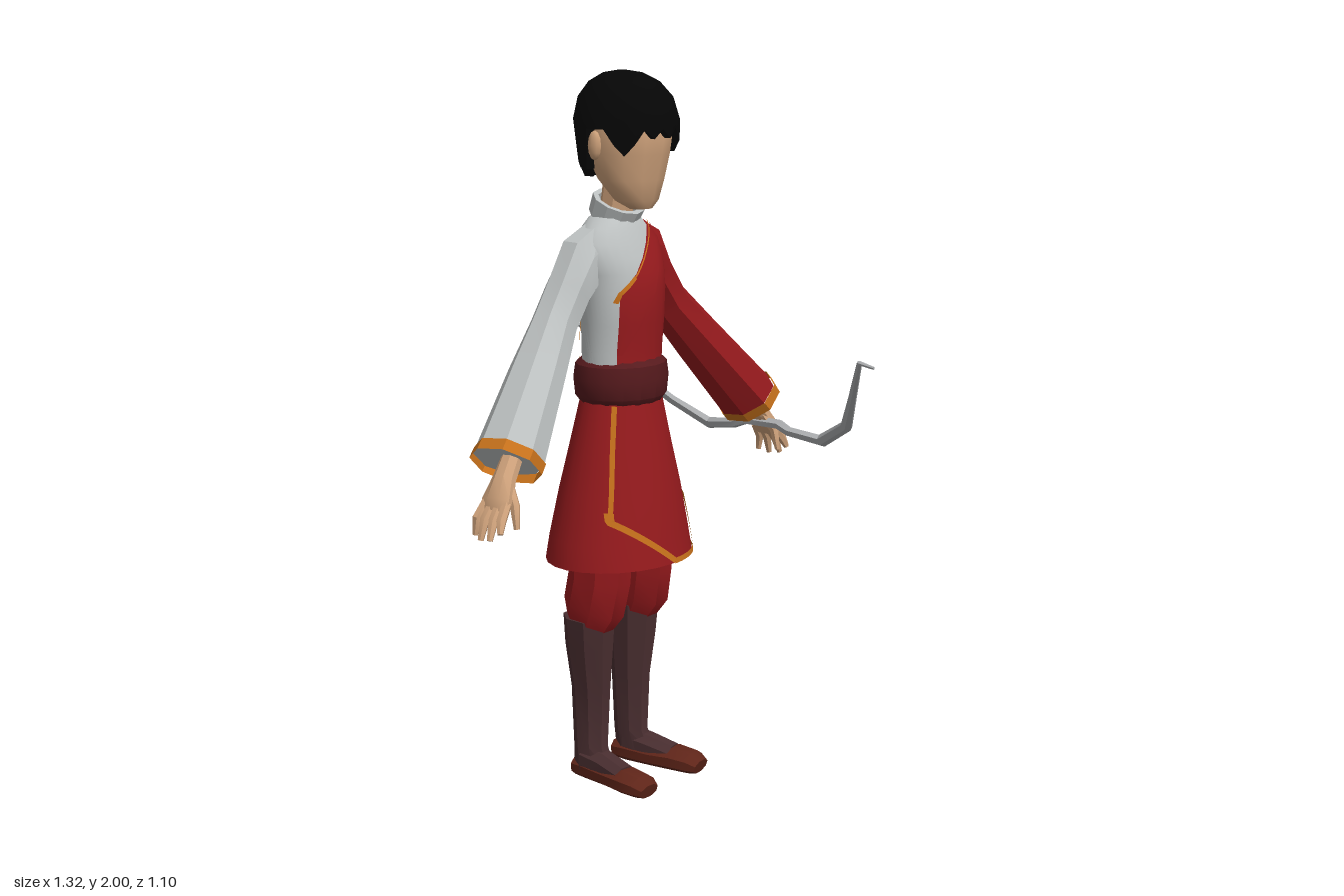
import * as THREE from 'three';
import { toCreasedNormals } from 'three/addons/utils/BufferGeometryUtils.js';

const mat = (name, color) => new THREE.MeshStandardMaterial({ name, color, side: THREE.DoubleSide });
const V = (x, y, z) => new THREE.Vector3(x, y, z);
const UP = V(0, 1, 0), FRONT = V(0, 0, 1);

export function createModel() {
  const model = new THREE.Group();
  model.name = 'archer';
  const skin = mat('skin', 0xd0a37c), red = mat('red cloth', 0x961a1d), pale = mat('pale cloth', 0xbcc0c0);
  const sash = mat('dark red sash', 0x561a1d), leather = mat('boot leather', 0x492e30);
  const shoe = mat('red brown leather', 0x5f2519), trim = mat('orange trim', 0xc8721c);
  const black = mat('black hair', 0x060606), metal = mat('bow grey', 0xadafb1);

  // Surface through rows of points, optionally capped at both ends
  function loft(name, rows, material, caps = false, crease = 0.6, parent = model) {
    const n = rows[0].length, pos = [], index = [];
    rows.forEach(r => r.forEach(p => pos.push(p.x, p.y, p.z)));
    for (let i = 0; i < rows.length - 1; i++) {
      for (let j = 0; j < n - 1; j++) {
        const a = i * n + j, b = a + n;
        index.push(a, b, b + 1, a, b + 1, a + 1);
      }
    }
    if (caps) {
      [0, rows.length - 1].forEach((r, end) => {
        const c = V(0, 0, 0);
        for (let j = 0; j < n - 1; j++) c.addScaledVector(rows[r][j], 1 / (n - 1));
        const k = pos.length / 3;
        pos.push(c.x, c.y, c.z);
        for (let j = 0; j < n - 1; j++) {
          const a = r * n + j;
          if (end) index.push(k, a + 1, a); else index.push(k, a, a + 1);
        }
      });
    }
    const g = new THREE.BufferGeometry();
    g.setAttribute('position', new THREE.Float32BufferAttribute(pos, 3));
    g.setIndex(index);
    const mesh = new THREE.Mesh(toCreasedNormals(g, crease), material);
    mesh.name = name;
    parent.add(mesh);
  }

  // Closed polygon ring around direction t; rv is measured along v
  function ring(c, t, ref, ru, rv, n = 8) {
    const v = ref.clone().addScaledVector(t, -ref.dot(t)).normalize();
    const u = t.clone().cross(v), k = 1 / Math.cos(Math.PI / n);
    return Array.from({ length: n + 1 }, (_, j) => {
      const a = ((j % n) + 0.5) * 2 * Math.PI / n;
      return c.clone().addScaledVector(u, ru * k * Math.cos(a)).addScaledVector(v, rv * k * Math.sin(a));
    });
  }

  // Tapering limb; each section is [x, y, z, ru, rv]
  function tube(name, secs, material, ref, n = 8, parent = model, caps = true) {
    const p = secs.map(s => V(s[0], s[1], s[2]));
    const rows = secs.map((s, i) => {
      const t = p[Math.min(i + 1, p.length - 1)].clone().sub(p[Math.max(i - 1, 0)]).normalize();
      return ring(p[i], t, ref, s[3], s[4], n);
    });
    loft(name, rows, material, caps, 0.6, parent);
  }
  const side = (secs, s) => secs.map(q => [q[0] * s, ...q.slice(1)]);

  // Elliptical arc on a body row [y, rx, zc, rz]
  const arc = ([y, rx, zc, rz], a0 = 0, a1 = 2 * Math.PI, n = 24, grow = 0) =>
    Array.from({ length: n + 1 }, (_, j) => {
      const a = a0 + (a1 - a0) * j / n;
      return V((rx + grow) * Math.cos(a), y, zc + (rz + grow) * Math.sin(a));
    });
  const angle = (x, rx) => Math.acos(THREE.MathUtils.clamp(x / rx, -0.97, 0.97));
  function rowAt(rows, y) {
    let i = 0;
    while (i < rows.length - 2 && rows[i + 1][0] < y) i++;
    const f = (y - rows[i][0]) / (rows[i + 1][0] - rows[i][0]);
    return rows[i].map((v, k) => v + (rows[i + 1][k] - v) * f);
  }

  // Thin trim ribbon lying on the front (dir 1) or back (dir -1) of a body
  function ribbon(name, rows, path, width, dir = 1, grow = 0.005) {
    const pts = [];
    path.forEach(([x, y], i) => {
      if (!i) return;
      const [px, py] = path[i - 1];
      for (let k = i > 1 ? 1 : 0; k <= 8; k++) pts.push([px + (x - px) * k / 8, py + (y - py) * k / 8]);
    });
    const strip = pts.map(([x, y], i) => {
      const a = pts[Math.max(i - 1, 0)], b = pts[Math.min(i + 1, pts.length - 1)];
      const l = Math.hypot(b[0] - a[0], b[1] - a[1]);
      const nx = -(b[1] - a[1]) / l, ny = (b[0] - a[0]) / l;
      return [-0.5, 0.5].map(w => {
        const X = x + nx * w * width, Y = y + ny * w * width, [, rx, zc, rz] = rowAt(rows, Y);
        const q = dir * angle(X, rx);
        return V((rx + grow) * Math.cos(q), Y, zc + (rz + grow) * Math.sin(q));
      });
    });
    loft(name, strip, trim);
  }

  // Tunic top: red and pale panels meeting on diagonal edges
  const torso = [[1.16, 0.13, -0.08, 0.105], [1.24, 0.127, -0.077, 0.1], [1.32, 0.13, -0.075, 0.105],
    [1.41, 0.135, -0.075, 0.108], [1.46, 0.142, -0.08, 0.103], [1.5, 0.15, -0.088, 0.096],
    [1.54, 0.147, -0.095, 0.086], [1.58, 0.115, -0.1, 0.072], [1.605, 0.082, -0.103, 0.06], [1.615, 0.04, -0.103, 0.03]];
  const edgeF = y => y > 1.41 ? 0.08 + (y - 1.6) / 1.055 : -0.1;
  const edgeB = y => 0.05 + (y - 1.6) / 2.53;
  const seam = y => 0.1 + (y - 1.58) / 1.8;
  loft('redTunicPanel', torso.map(r => arc(r, -angle(edgeB(r[0]), r[1]), angle(edgeF(r[0]), r[1]), 14)), red);
  loft('paleTunicPanel', torso.map(r => arc(r, angle(edgeF(r[0]), r[1]), 2 * Math.PI - angle(edgeB(r[0]), r[1]), 14)), pale);
  loft('lapel', torso.slice(1, 8).map(r => arc(r, angle(seam(r[0]), r[1]), angle(edgeF(r[0]), r[1]), 8, 0.005)), red);
  ribbon('frontEdgeTrim', torso, [[0.07, 1.59], [-0.07, 1.442]], 0.004, 1, 0.007);
  ribbon('frontCornerTrim', torso, [[-0.06, 1.452], [-0.1, 1.41], [-0.108, 1.385]], 0.01, 1, 0.007);
  ribbon('backEdgeTrim', torso, [[0.045, 1.59], [-0.1, 1.22]], 0.006, -1);

  // Sash
  const sashRows = [[1.095, 0.122, -0.08, 0.105], [1.115, 0.138, -0.08, 0.12], [1.165, 0.143, -0.08, 0.125],
    [1.205, 0.137, -0.08, 0.12], [1.222, 0.12, -0.08, 0.1]];
  loft('sash', sashRows.map(r => arc(r, 0, 2 * Math.PI, 16)), sash);

  // Skirt with orange edging
  const skirt = [[0.652, 0.232, -0.088, 0.188], [0.72, 0.22, -0.088, 0.178], [0.85, 0.19, -0.085, 0.157],
    [0.98, 0.157, -0.083, 0.13], [1.11, 0.125, -0.08, 0.105]];
  const hemRows = [0.651, 0.666].map(y => rowAt(skirt, y));
  loft('skirt', skirt.map(r => arc(r)), red);
  loft('outerHemTrim', hemRows.map(r => arc(r, -0.9, 1.53, 16, 0.004)), trim);
  loft('innerHemTrim', hemRows.map(r => arc(r, 0, 2 * Math.PI, 24, -0.004)), trim);
  ribbon('flapSideTrim', skirt, [[-0.105, 1.1], [-0.165, 0.79]], 0.009);
  ribbon('flapHemTrim', skirt, [[-0.163, 0.815], [-0.165, 0.79], [0.01, 0.66]], 0.017);
  ribbon('skirtSlitTrim', skirt, [[0.165, 0.66], [0.165, 0.81], [0.18, 0.81], [0.21, 0.66]], 0.013);

  // Collar and neck
  const tilt = V(0, 0.91, 0.42).normalize();
  loft('collar', [[0, 0.069], [0.05, 0.074], [0.05, 0.058], [0, 0.05]].map(([h, r]) =>
    ring(V(0, 1.6, -0.108).addScaledVector(tilt, h), tilt, FRONT, r, r * 0.93, 10)), pale, false, 0.5);
  tube('neck', [[0, 1.57, -0.105, 0.044, 0.042], [0, 1.74, -0.075, 0.044, 0.045]], skin, FRONT);

  // Head
  const head = [[1.632, 0.036, -0.01, 0.028], [1.655, 0.068, -0.025, 0.057], [1.71, 0.095, -0.045, 0.09],
    [1.78, 0.109, -0.055, 0.117], [1.86, 0.115, -0.055, 0.13], [1.94, 0.09, -0.06, 0.1]];
  loft('head', head.map(r => arc(r, 0, 2 * Math.PI, 12)), skin, true, 0.8);

  // Hair: a cap whose lower edge forms fringe, side locks and nape
  const N = 32;
  const hairEdge = j => {
    const d = Math.abs(((j * 360 / N - 90 + 540) % 360) - 180);
    if (d < 40) return j % 2 ? 1.85 : 1.825;
    if (d < 74) return j % 2 ? 1.78 : 1.81;
    if (d < 106) return 1.85;
    return (d < 150 ? 1.74 : 1.712) + (j % 2) * 0.015;
  };
  const hairRow = inset => arc([0, 0.138, -0.06, 0.149], 0, 2 * Math.PI, N).map((p, j) => {
    const y = hairEdge(j % N), k = inset * (1 - 0.22 * Math.max(0, (1.8 - y) / 0.1));
    return V(p.x * k, y, -0.06 + (p.z + 0.06) * k);
  });
  const crown = [[1.87, 0.135, -0.06, 0.15], [1.93, 0.12, -0.063, 0.134], [1.97, 0.09, -0.067, 0.1],
    [1.993, 0.052, -0.072, 0.055], [2, 0.012, -0.075, 0.012]];
  loft('hair', [hairRow(0.8), hairRow(1), ...crown.map(r => arc(r, 0, 2 * Math.PI, N))], black, true);

  for (const s of [1, -1]) {
    const name = s > 0 ? 'left' : 'right';
    const arm = new THREE.Group(), leg = new THREE.Group();
    arm.name = name + 'Arm';
    leg.name = name + 'Leg';
    model.add(arm, leg);

    const ear = new THREE.Mesh(new THREE.SphereGeometry(1, 8, 6), skin);
    ear.name = name + 'Ear';
    ear.scale.set(0.014, 0.04, 0.022);
    ear.position.set(s * 0.114, 1.805, -0.078);
    model.add(ear);

    // Flared sleeve and open cuff
    tube('sleeve', side([[0.05, 1.515, -0.106, 0.086, 0.052], [0.13, 1.483, -0.11, 0.083, 0.06],
      [0.19, 1.413, -0.113, 0.061, 0.06], [0.25, 1.335, -0.11, 0.058, 0.06], [0.355, 1.22, -0.082, 0.065, 0.075],
      [0.53, 1.03, -0.03, 0.078, 0.093]], s), s > 0 ? red : pale, FRONT, 8, arm);
    tube('cuff', side([[0.524, 1.037, -0.031, 0.081, 0.096], [0.546, 1.014, -0.027, 0.081, 0.097]], s), trim, FRONT, 8, arm, false);

    // Hand
    tube('palm', side([[0.53, 1.03, -0.02, 0.024, 0.028], [0.565, 0.985, -0.015, 0.023, 0.032],
      [0.598, 0.935, -0.01, 0.021, 0.045], [0.61, 0.91, -0.01, 0.014, 0.042]], s), skin, FRONT, 8, arm);
    [[0.635, 0.845, -0.055], [0.648, 0.837, -0.025], [0.652, 0.842, 0.01], [0.645, 0.862, 0.04]].forEach(([x, y, z], i) => {
      const bz = -0.043 + i * 0.022;
      tube('finger', side([[0.6, 0.93, bz, 0.012, 0.012], [0.632, 0.89, (bz + z) / 2, 0.012, 0.012],
        [x, y, z, 0.007, 0.007]], s), skin, FRONT, 6, arm);
    });
    tube('thumb', side([[0.57, 0.97, 0.005, 0.013, 0.013], [0.583, 0.925, 0.036, 0.012, 0.012],
      [0.588, 0.865, 0.046, 0.007, 0.007]], s), skin, FRONT, 6, arm);

    // Trousers, boot and shoe
    tube('trouserLeg', side([[0.1, 0.47, -0.115, 0.055, 0.068], [0.1, 0.515, -0.1, 0.066, 0.088],
      [0.094, 0.6, -0.085, 0.066, 0.09], [0.086, 0.78, -0.085, 0.07, 0.095]], s), red, FRONT, 8, leg);
    tube('boot', side([[0.096, 0.035, -0.105, 0.037, 0.06], [0.092, 0.1, -0.12, 0.035, 0.05],
      [0.091, 0.27, -0.12, 0.043, 0.056], [0.098, 0.4, -0.12, 0.056, 0.068],
      [0.1, 0.485, -0.118, 0.063, 0.072]], s), leather, FRONT, 8, leg);
    tube('instep', side([[0.095, 0.062, -0.13, 0.038, 0.036], [0.1, 0.056, -0.06, 0.039, 0.034],
      [0.112, 0.042, 0.02, 0.038, 0.028]], s), leather, UP, 8, leg);
    tube('shoe', side([[0.09, 0.026, -0.17, 0.03, 0.026], [0.092, 0.03, -0.13, 0.04, 0.03],
      [0.102, 0.029, -0.04, 0.044, 0.029], [0.114, 0.033, 0.03, 0.052, 0.033],
      [0.119, 0.03, 0.085, 0.047, 0.03], [0.121, 0.022, 0.112, 0.034, 0.02]], s), shoe, UP, 8, leg);
  }

  // Recurved bow held in the left hand
  tube('bow', [[0.305, 1.21, 0.55, 0.004, 0.004], [0.312, 1.218, 0.5, 0.007, 0.006], [0.43, 1.09, 0.405, 0.011, 0.009],
    [0.535, 0.98, 0.32, 0.016, 0.012], [0.584, 0.913, 0.205, 0.019, 0.014], [0.565, 0.93, 0.1, 0.015, 0.013],
    [0.572, 0.945, 0.06, 0.014, 0.014], [0.572, 0.945, -0.06, 0.014, 0.014], [0.565, 0.93, -0.1, 0.015, 0.013],
    [0.587, 0.913, -0.205, 0.019, 0.014], [0.54, 0.98, -0.315, 0.016, 0.012], [0.44, 1.09, -0.405, 0.011, 0.009],
    [0.328, 1.218, -0.5, 0.007, 0.006], [0.322, 1.21, -0.55, 0.004, 0.004]], metal, V(0.7, 0.7, 0), 6);

  return model;
}
